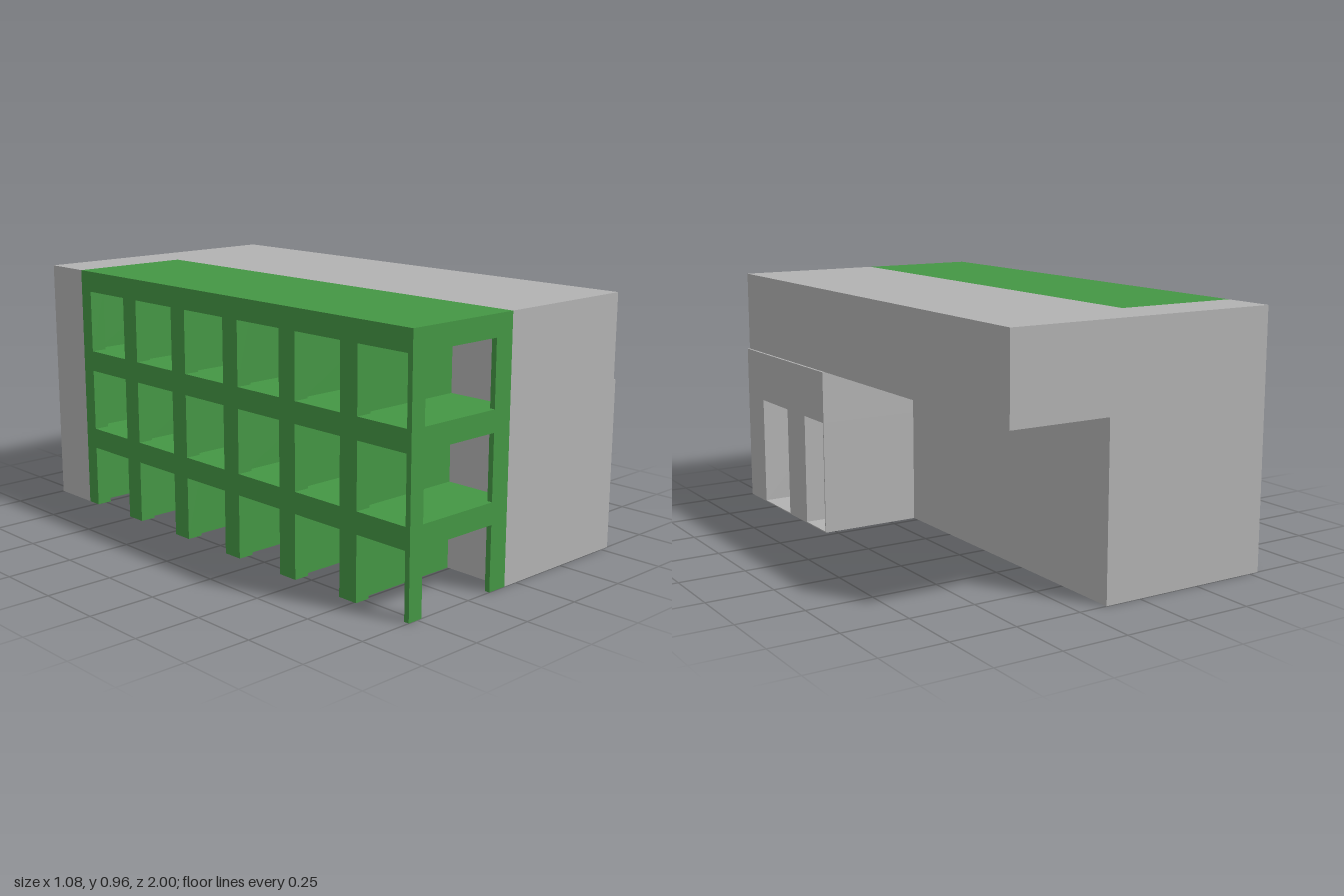
import * as THREE from 'three';

export function createModel() {
  const model = new THREE.Group();
  const grey = new THREE.MeshStandardMaterial({ color: 0xb2b2b2 });
  grey.name = 'concrete grey';
  const green = new THREE.MeshStandardMaterial({ color: 0x449644 });
  green.name = 'arcade green';

  // Box given by its minimum and maximum on each axis
  function block(parent, name, mat, [x0, x1], [y0, y1], [z0, z1]) {
    const mesh = new THREE.Mesh(new THREE.BoxGeometry(x1 - x0, y1 - y0, z1 - z0), mat);
    mesh.position.set((x0 + x1) / 2, (y0 + y1) / 2, (z0 + z1) / 2);
    mesh.name = name;
    parent.add(mesh);
  }
  function group(name) {
    const g = new THREE.Group();
    g.name = name;
    model.add(g);
    return g;
  }

  // Main grey volumes: overhanging top storey, lower wing, full-height back block
  const body = group('mainBuilding');
  block(body, 'topStorey', grey, [-0.06, 0.53], [0.64, 0.96], [-1, 1]);
  block(body, 'lowerWing', grey, [-0.06, 0.14], [0, 0.64], [-1, 1]);
  block(body, 'backBlock', grey, [-0.54, -0.06], [0, 0.96], [-1, -0.8]);

  // Entrance block with two deep door recesses
  const entrance = group('entranceBlock');
  const depth = [0.14, 0.54];
  block(entrance, 'lintel', grey, depth, [0.44, 0.64], [0.28, 1]);
  block(entrance, 'frontWall', grey, depth, [0, 0.44], [0.85, 1]);
  block(entrance, 'doorPier', grey, depth, [0, 0.44], [0.45, 0.61]);
  block(entrance, 'endWall', grey, depth, [0, 0.44], [0.28, 0.285]);
  for (const [z0, z1, benchEnd] of [[0.61, 0.85, 0.81], [0.285, 0.45, 0.45]]) {
    block(entrance, 'recessFloor', grey, depth, [0, 0.004], [z0, z1]);
    block(entrance, 'recessStep', grey, [0.14, 0.26], [0.004, 0.18], [z0, benchEnd]);
  }

  // Green arcade: floor slabs with open bays between them
  const arcade = group('arcade');
  const slabs = [0.24, 0.56, 0.88];
  for (const y of slabs) {
    block(arcade, 'floorSlab', green, [-0.54, -0.06], [y, y + 0.08], [-0.8, 1]);

    const storey = [y === 0.24 ? 0 : y - 0.24, y];
    // Thin front frame
    block(arcade, 'frontCornerPost', green, [-0.54, -0.48], storey, [0.98, 1]);
    block(arcade, 'frontInnerPost', green, [-0.14, -0.06], storey, [0.98, 1]);
    // Half pier against the back block
    block(arcade, 'endPier', green, [-0.54, -0.48], storey, [-0.8, -0.74]);
    block(arcade, 'endCrossWall', green, [-0.48, -0.06], storey, [-0.8, -0.78]);
    // Piers with thinner cross walls behind them
    for (let i = 0; i < 5; i++) {
      const z = -0.48 + i * 0.3;
      block(arcade, 'pier', green, [-0.54, -0.48], storey, [z - 0.04, z + 0.04]);
      block(arcade, 'crossWall', green, [-0.48, -0.06], storey, [z - 0.02, z + 0.02]);
    }
  }
  return model;
}
